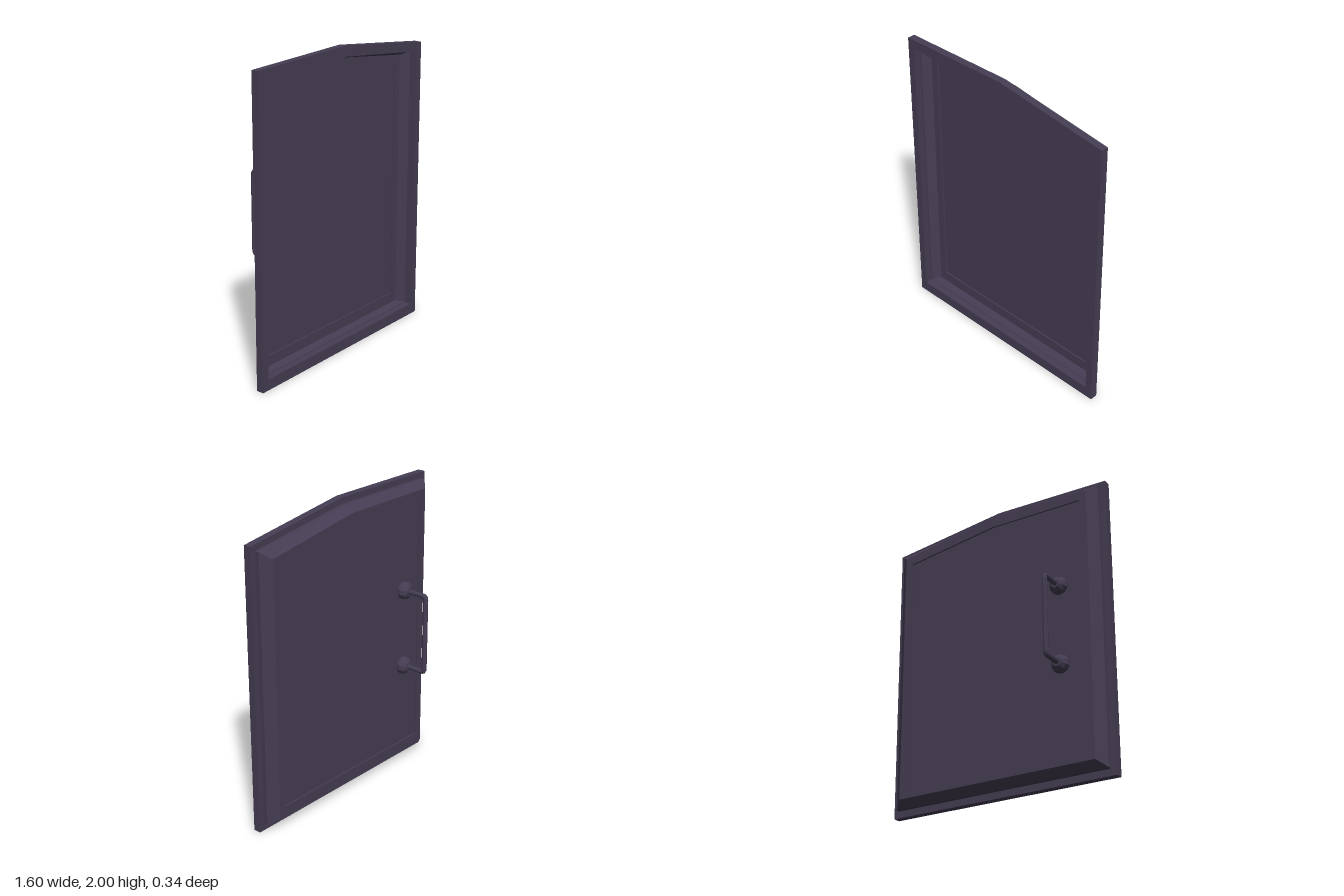
import * as THREE from 'three';

const doorPaint = new THREE.MeshStandardMaterial({ color: 0x453d53 });
doorPaint.name = 'darkViolet';
doorPaint.flatShading = true;

// Five-cornered door outline: half width, bottom, and top heights at right, middle and left
const outline = (w, bottom, right, mid, left) =>
  [[-w, bottom], [w, bottom], [w, right], [0, mid], [-w, left]];

const OUTER = outline(0.798, 0, 1.895, 2, 1.987);
const STEP = outline(0.76, 0.045, 1.86, 1.96, 1.95);
const BACK = outline(0.70, 0.09, 1.815, 1.92, 1.91);
const OPENING = outline(0.748, 0.072, 1.84, 1.932, 1.926);
const LEDGE = outline(0.74, 0.076, 1.835, 1.928, 1.921);
const RECESS = outline(0.702, 0.088, 1.813, 1.91, 1.903);
const PANEL = outline(0.65, 0.157, 1.757, 1.85, 1.847);

// Skin a closed chain of outlines, each at its own depth
function skin(rings) {
  const pos = [];
  rings.forEach(([a, za], i) => {
    const [b, zb] = rings[(i + 1) % rings.length];
    a.forEach((p, j) => {
      const k = (j + 1) % a.length;
      const A = [...p, za], B = [...a[k], za], C = [...b[k], zb], D = [...b[j], zb];
      pos.push(...A, ...B, ...C, ...A, ...C, ...D);
    });
  });
  const g = new THREE.BufferGeometry();
  g.setAttribute('position', new THREE.Float32BufferAttribute(pos, 3));
  g.computeVertexNormals();
  return g;
}

function add(parent, name, geometry) {
  const mesh = new THREE.Mesh(geometry, doorPaint);
  mesh.name = name;
  parent.add(mesh);
  return mesh;
}

export function createModel() {
  const model = new THREE.Group();
  model.name = 'door';

  // Hollow frame: bevelled back, outer flange, stepped front recess
  add(model, 'frame', skin([
    [PANEL, 0.035], [BACK, 0.035], [STEP, 0.09], [STEP, 0.12],
    [OUTER, 0.12], [OUTER, 0.17], [OPENING, 0.17], [OPENING, 0.122],
    [LEDGE, 0.122], [RECESS, 0.07], [PANEL, 0.07],
  ]));

  // Thin panel set between the front and back lips
  const shape = new THREE.Shape(PANEL.map(([x, y]) => new THREE.Vector2(x, y)));
  const panel = new THREE.ExtrudeGeometry(shape, { depth: 0.014, bevelEnabled: false });
  add(model, 'panel', panel.translate(0, 0, 0.046));

  // Pull handle on the back
  const handle = new THREE.Group();
  handle.name = 'handle';
  handle.position.x = -0.492;
  model.add(handle);

  const low = 0.737, high = 1.272, far = -0.15, r = 0.022;
  const v = (y, z) => new THREE.Vector3(0, y, z);
  const path = new THREE.CurvePath();
  path.add(new THREE.LineCurve3(v(low, 0.03), v(low, far + r)));
  path.add(new THREE.QuadraticBezierCurve3(v(low, far + r), v(low, far), v(low + r, far)));
  path.add(new THREE.LineCurve3(v(low + r, far), v(high - r, far)));
  path.add(new THREE.QuadraticBezierCurve3(v(high - r, far), v(high, far), v(high, far + r)));
  path.add(new THREE.LineCurve3(v(high, far + r), v(high, 0.03)));
  add(handle, 'gripBar', new THREE.TubeGeometry(path, 90, 0.017, 8, false));

  // Domed mounts
  const profile = [[0, 0], [0.058, 0], [0.06, 0.022], [0.052, 0.04], [0.03, 0.058], [0, 0.06]]
    .map(([x, y]) => new THREE.Vector2(x, y));
  for (const [name, y] of [['lowerMount', low], ['upperMount', high]]) {
    const mount = add(handle, name, new THREE.LatheGeometry(profile, 10));
    mount.rotation.x = -Math.PI / 2;
    mount.position.set(0, y, 0.039);
  }
  return model;
}
